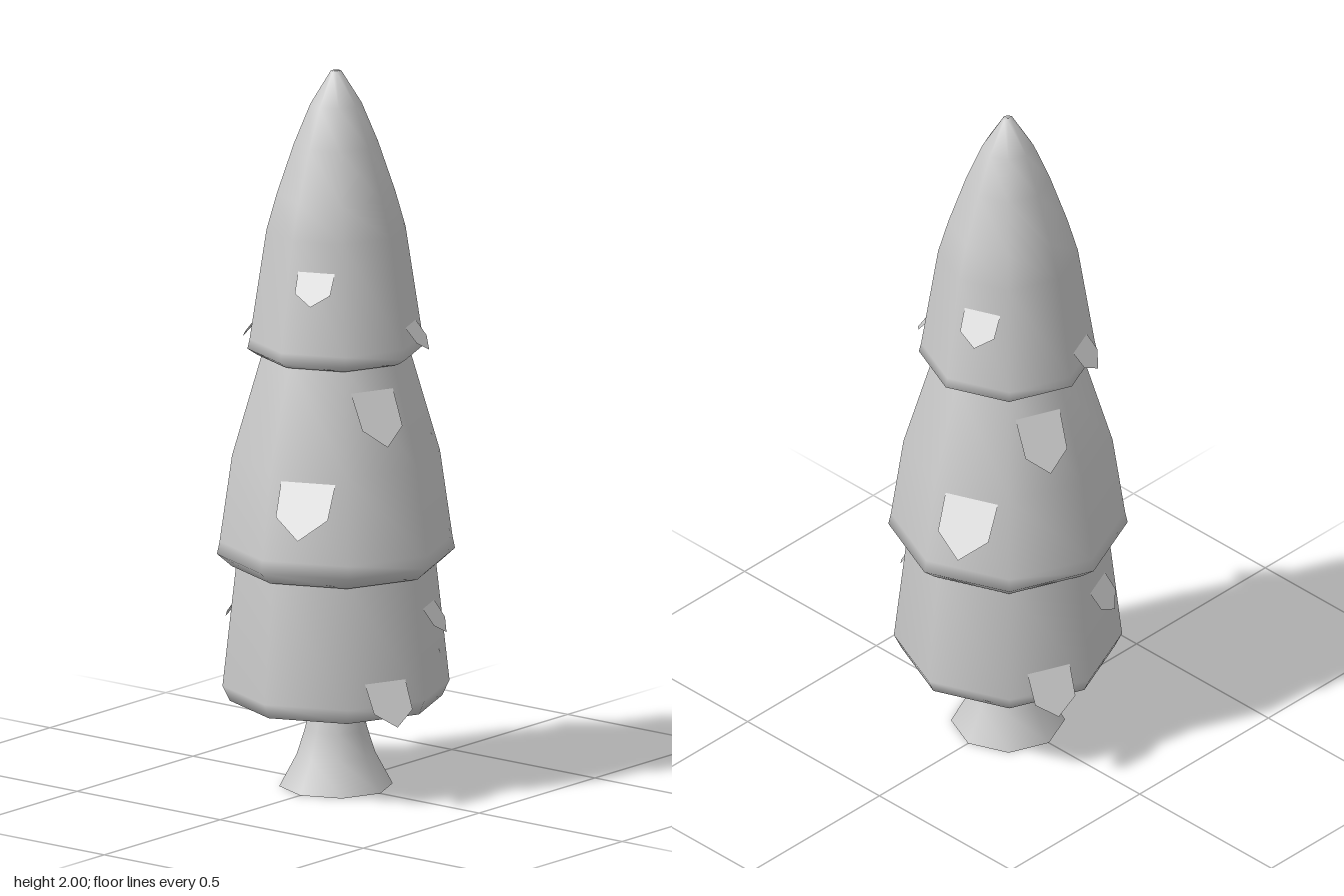
import * as THREE from 'three';

const SIDES = 8;
const material = new THREE.MeshStandardMaterial({ color: 0xcccccc });
const leafMaterial = new THREE.MeshStandardMaterial({ color: 0xcccccc, side: THREE.DoubleSide, flatShading: true });

// Eight-sided turned part from [radius, height] pairs, bottom to top
function turned(name, profile) {
  const points = profile.map(([r, y]) => new THREE.Vector2(r, y));
  const mesh = new THREE.Mesh(new THREE.LatheGeometry(points, SIDES), material);
  mesh.name = name;
  return mesh;
}

// Flat five-cornered leaf; its top edge touches the foliage and its tip leans outward
function leaf(name, { angle, radius, top, drop, out, width }) {
  const length = Math.hypot(drop, out);
  const w = width / 2;
  const shape = new THREE.Shape([
    new THREE.Vector2(-w, 0.01),
    new THREE.Vector2(-w * 0.95, -length * 0.64),
    new THREE.Vector2(0, -length),
    new THREE.Vector2(w * 0.95, -length * 0.64),
    new THREE.Vector2(w, 0.01),
  ]);
  const geometry = new THREE.ShapeGeometry(shape);
  geometry.rotateX(-Math.atan2(out, drop));
  geometry.translate(0, top, radius);
  geometry.rotateY(THREE.MathUtils.degToRad(angle));
  const mesh = new THREE.Mesh(geometry, leafMaterial);
  mesh.name = name;
  return mesh;
}

export function createModel() {
  const tree = new THREE.Group();
  tree.name = 'tree';

  // Flared trunk and its flat base
  tree.add(turned('trunk', [[0.155, 0], [0.107, 0.09], [0.085, 0.16], [0.07, 0.23]]));
  const base = new THREE.Mesh(new THREE.CircleGeometry(0.155, SIDES).rotateX(Math.PI / 2), material);
  base.name = 'trunkBase';
  tree.add(base);

  // Three stacked tiers of foliage
  tree.add(turned('lowerTier', [
    [0, 0.21], [0.13, 0.21], [0.29, 0.243], [0.31, 0.285], [0.272, 0.63],
  ]));
  tree.add(turned('middleTier', [
    [0, 0.62], [0.285, 0.62], [0.325, 0.655], [0.318, 0.69], [0.284, 0.93], [0.2, 1.22],
  ]));
  tree.add(turned('upperTier', [
    [0, 1.21], [0.215, 1.21], [0.242, 1.228], [0.236, 1.255], [0.19, 1.56],
    [0.162, 1.66], [0.115, 1.8], [0.07, 1.91], [0.015, 2], [0, 2],
  ]));

  // Loose leaves, repeated on opposite sides
  const leaves = [
    { angle: 22.5, radius: 0.257, top: 0.92, drop: 0.15, out: 0.11, width: 0.155 },
    { angle: 22.5, radius: 0.186, top: 1.48, drop: 0.083, out: 0.062, width: 0.105 },
    { angle: 112.5, radius: 0.204, top: 1.315, drop: 0.077, out: 0.06, width: 0.1 },
    { angle: 67.5, radius: 0.21, top: 1.14, drop: 0.13, out: 0.085, width: 0.13 },
    { angle: 67.5, radius: 0.283, top: 0.345, drop: 0.107, out: 0.068, width: 0.125 },
    { angle: 112.5, radius: 0.258, top: 0.53, drop: 0.08, out: 0.055, width: 0.11 },
  ];
  leaves.forEach((spec, i) => {
    tree.add(leaf(`leaf${i + 1}Left`, spec));
    tree.add(leaf(`leaf${i + 1}Right`, { ...spec, angle: spec.angle + 180 }));
  });

  return tree;
}
